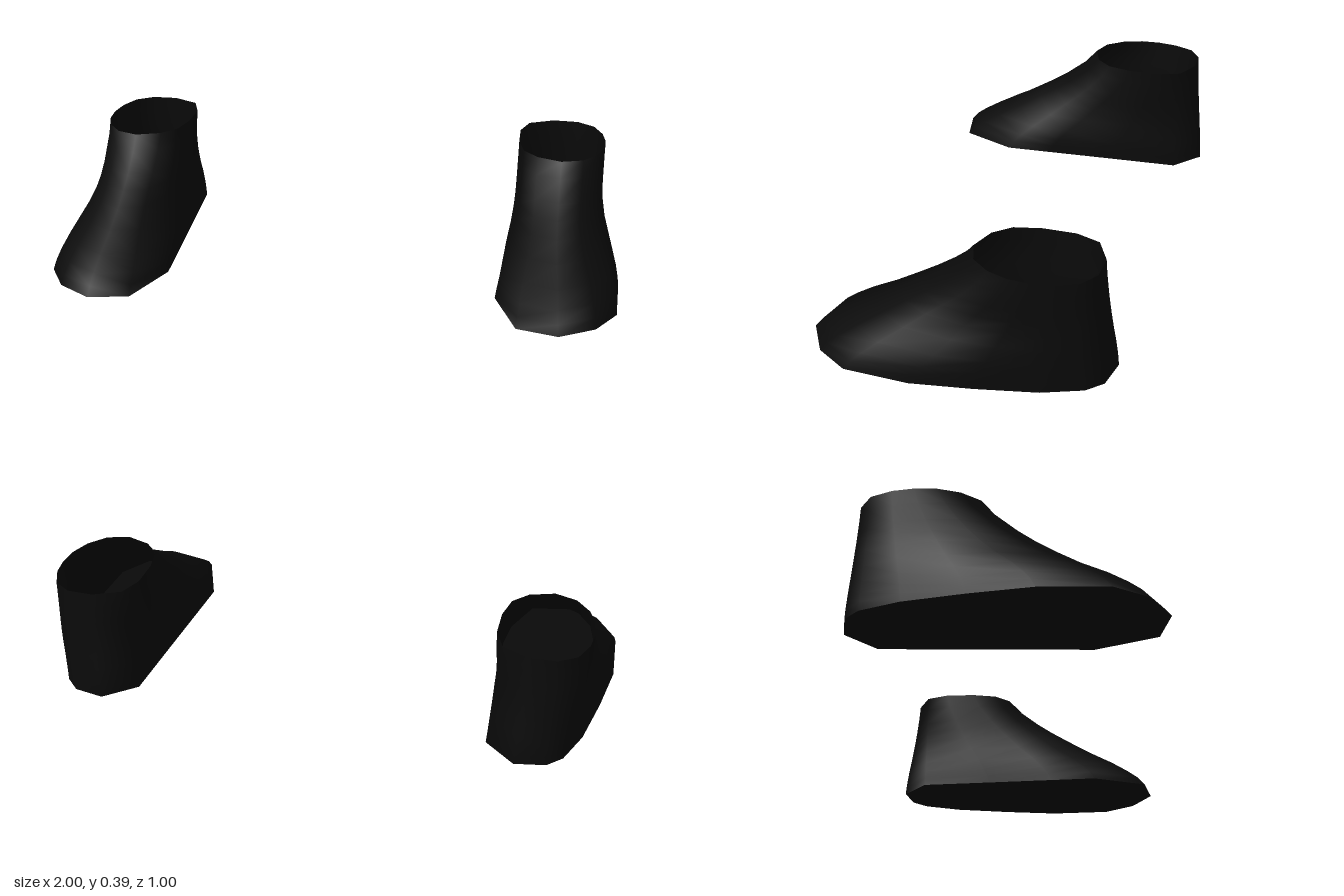
import * as THREE from 'three';

// Outline of the left shoe as [x, z], running toe -> outer side -> heel -> inner side
const SOLE = [[0.8, 0.5], [0.92, 0.43], [0.99, 0.32], [1, 0.1], [0.97, -0.1], [0.93, -0.3], [0.88, -0.43],
  [0.83, -0.48], [0.725, -0.5], [0.62, -0.41], [0.605, -0.15], [0.59, 0.1], [0.58, 0.27], [0.66, 0.47]];
const COLLAR = [[0.775, -0.045], [0.85, -0.07], [0.9, -0.13], [0.925, -0.2], [0.93, -0.27], [0.92, -0.34], [0.89, -0.41],
  [0.83, -0.45], [0.74, -0.453], [0.65, -0.41], [0.62, -0.33], [0.62, -0.22], [0.64, -0.13], [0.69, -0.075]];
// Per level: height, blend of x and blend of z from sole outline to collar outline
const LEVELS = [[0, 0, 0], [0.03, 0.07, 0.046], [0.06, 0.17, 0.12], [0.1, 0.36, 0.235], [0.15, 0.7, 0.4],
  [0.2, 0.92, 0.55], [0.24, 0.99, 0.67], [0.28, 1, 0.78], [0.34, 1, 0.92], [0.39, 1, 1]];

// Hollow upper: rings of the blended outline joined in loops
function upperGeometry() {
  const n = SOLE.length, pos = [], index = [];
  LEVELS.forEach(([y, bx, bz], k) => {
    for (let i = 0; i < n; i++) {
      pos.push(THREE.MathUtils.lerp(SOLE[i][0], COLLAR[i][0], bx), y,
        THREE.MathUtils.lerp(SOLE[i][1], COLLAR[i][1], bz));
      if (k === 0) continue;
      const a = (k - 1) * n + i, b = (k - 1) * n + (i + 1) % n;
      index.push(a, b, b + n, a, b + n, a + n);
    }
  });
  const g = new THREE.BufferGeometry();
  g.setAttribute('position', new THREE.Float32BufferAttribute(pos, 3));
  g.setIndex(index);
  g.computeVertexNormals();
  return g;
}

// Flat sole closing the bottom
function soleGeometry() {
  const shape = new THREE.Shape(SOLE.map(([x, z]) => new THREE.Vector2(x, z)));
  return new THREE.ShapeGeometry(shape).rotateX(Math.PI / 2);
}

export function createModel() {
  const model = new THREE.Group();
  model.name = 'pairOfShoes';
  const material = new THREE.MeshStandardMaterial({ color: 0x0a0a0a, side: THREE.DoubleSide });
  const upper = upperGeometry(), sole = soleGeometry();

  // Left shoe at +x, right shoe mirrored
  for (const [name, side] of [['leftShoe', 1], ['rightShoe', -1]]) {
    const shoe = new THREE.Group();
    shoe.name = name;
    const upperMesh = new THREE.Mesh(upper, material);
    upperMesh.name = 'upper';
    const soleMesh = new THREE.Mesh(sole, material);
    soleMesh.name = 'sole';
    shoe.add(upperMesh, soleMesh);
    shoe.scale.x = side;
    model.add(shoe);
  }
  return model;
}
